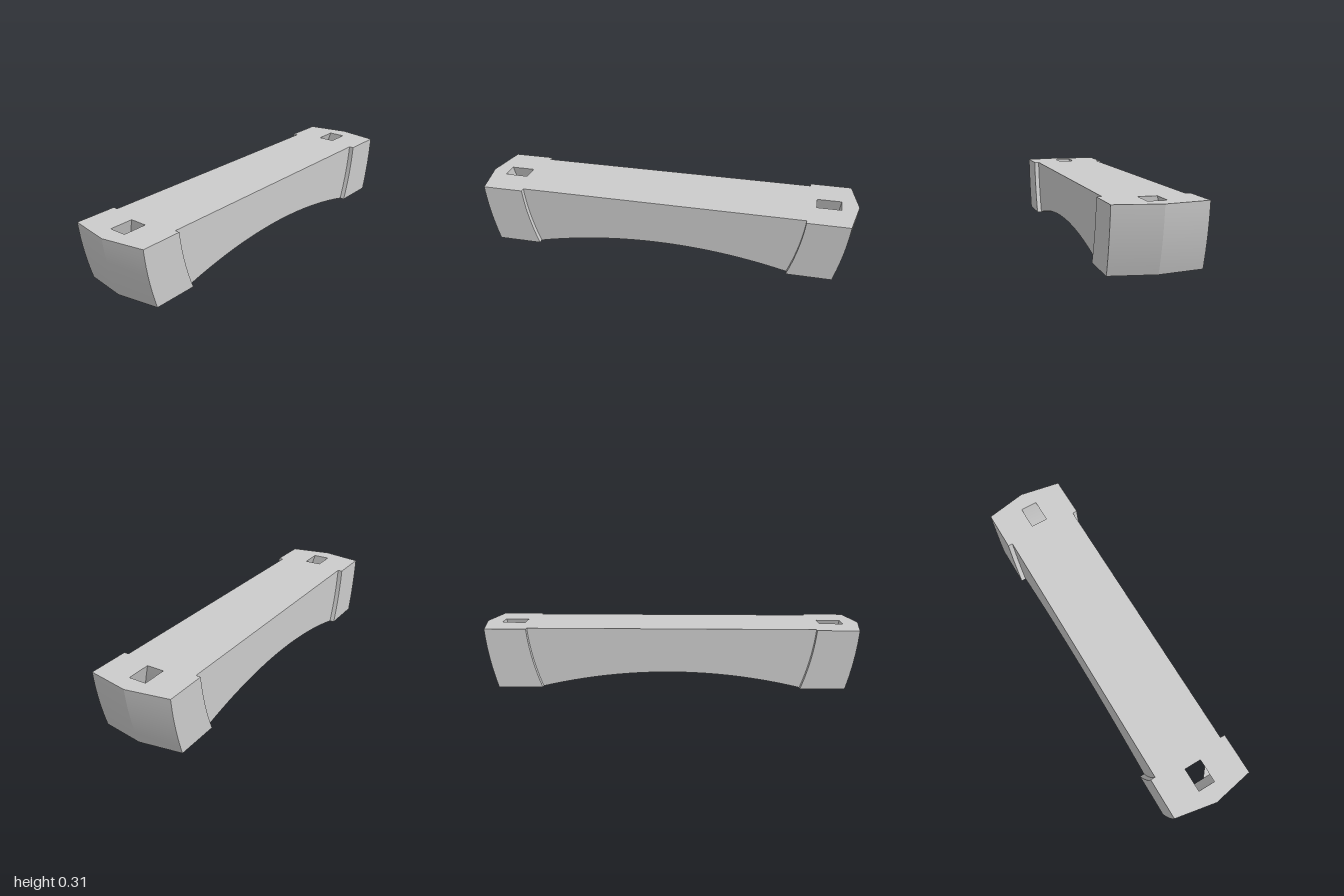
import * as THREE from 'three';
import { toCreasedNormals } from 'three/addons/utils/BufferGeometryUtils.js';

const HEIGHT = 0.31;
const STEPS = 10;

// Inward lean at height y, as a share of the full lean at the base
const lean = (y) => {
  const u = 1 - y / HEIGHT;
  return 0.4 * u + 0.6 * u * u;
};

// Pointed end block with a flared slot through it, swept along the lean
function endBlockGeometry() {
  const plan = new THREE.Shape([
    [0.745, -0.217], [0.96, -0.217], [1, 0], [0.96, 0.217], [0.745, 0.217],
  ].map(([x, z]) => new THREE.Vector2(x, z)));
  plan.holes.push(new THREE.Path([
    [0.787, -0.045], [0.787, 0.045], [0.911, 0.045], [0.911, -0.045],
  ].map(([x, z]) => new THREE.Vector2(x, z))));

  const geo = new THREE.ExtrudeGeometry(plan, { depth: HEIGHT, steps: STEPS, bevelEnabled: false });
  geo.rotateX(-Math.PI / 2);
  const p = geo.attributes.position;
  for (let i = 0; i < p.count; i++) {
    const x = p.getX(i), y = p.getY(i), z = p.getZ(i);
    const isTip = Math.abs(z) < 0.01;
    const isSlot = !isTip && Math.abs(z) < 0.1;
    const shift = x < 0.75 ? 0.075 : isTip ? 0.065 : 0.06;
    p.setX(i, x - shift * lean(y));
    if (isSlot) p.setZ(i, z * (3 - 2 * y / HEIGHT));
  }
  return toCreasedNormals(geo, 0.2);
}

// Beam with an arched underside and ends that follow the blocks
function beamGeometry() {
  const points = [];
  for (let i = 0; i <= 32; i++) {
    const k = -1 + i / 16;
    points.push(new THREE.Vector2(0.67 * k, 0.08 * (1 - k * k)));
  }
  for (let i = 1; i <= STEPS; i++) {
    const y = HEIGHT * i / STEPS;
    points.push(new THREE.Vector2(0.745 - 0.075 * lean(y), y));
  }
  for (let i = STEPS; i >= 1; i--) {
    const y = HEIGHT * i / STEPS;
    points.push(new THREE.Vector2(-0.745 + 0.075 * lean(y), y));
  }
  const geo = new THREE.ExtrudeGeometry(new THREE.Shape(points), { depth: 0.384, bevelEnabled: false });
  geo.translate(0, 0, -0.192);
  return toCreasedNormals(geo, 0.2);
}

export function createModel() {
  const group = new THREE.Group();
  group.name = 'archedHandle';
  const material = new THREE.MeshStandardMaterial({ color: 0xcccccc });

  const beam = new THREE.Mesh(beamGeometry(), material);
  beam.name = 'archedBeam';
  group.add(beam);

  const blockGeo = endBlockGeometry();
  for (const [name, turn] of [['leftEndBlock', 0], ['rightEndBlock', Math.PI]]) {
    const block = new THREE.Mesh(blockGeo, material);
    block.name = name;
    block.rotation.y = turn;
    group.add(block);
  }
  return group;
}
